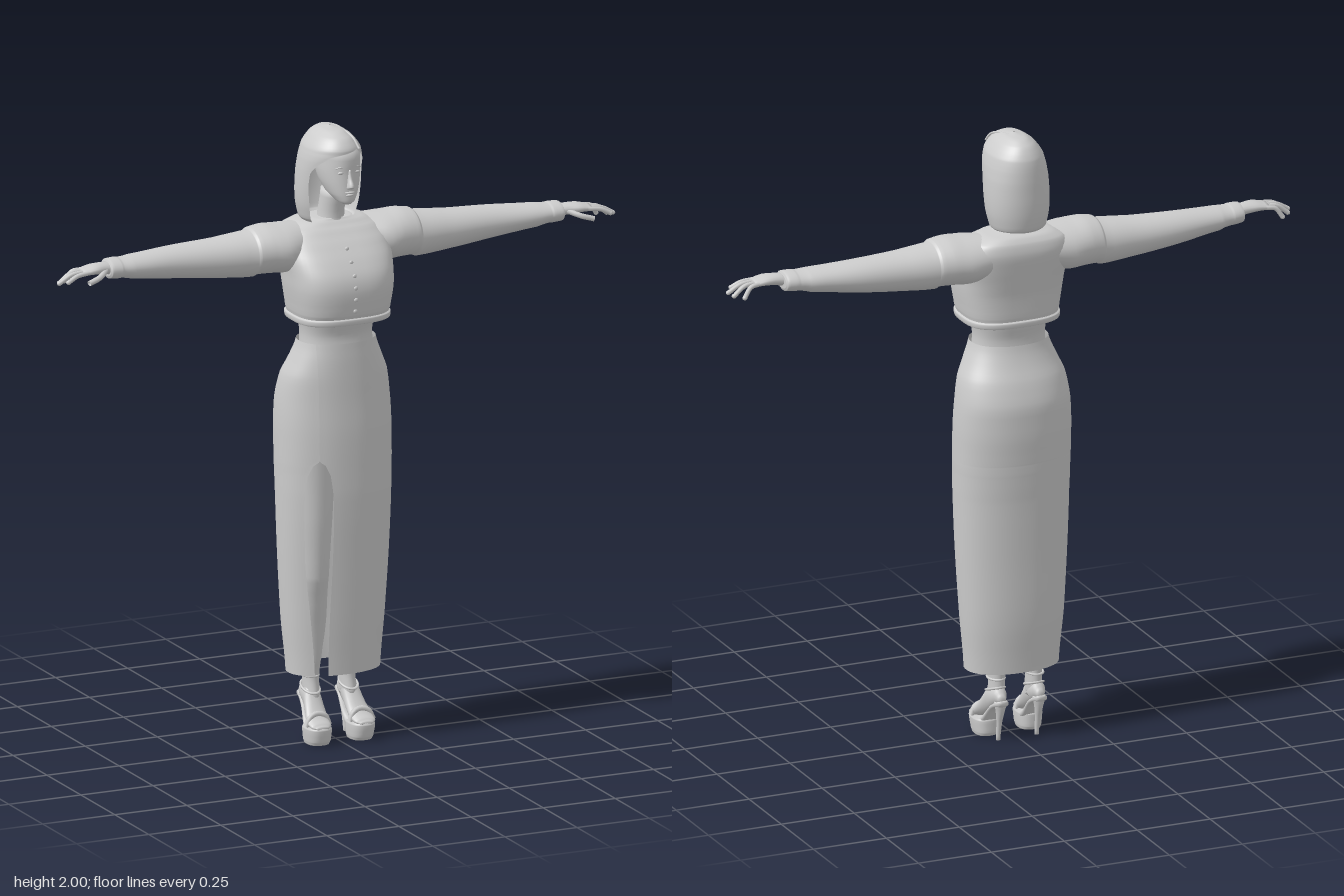
import * as THREE from 'three';

const grey = new THREE.MeshStandardMaterial({ color: 0xcccccc, side: THREE.DoubleSide });
grey.name = 'plain light grey';

// Smooth value between rows of a cross-section table
function sample(rows, s) {
  const last = rows.length - 1, i = Math.min(Math.floor(s), last - 1), f = s - i;
  const p = (k) => rows[Math.max(0, Math.min(last, k))];
  return rows[i].map((b, j) => {
    const c = rows[i + 1][j], m0 = (c - p(i - 1)[j]) / 2, m1 = (p(i + 2)[j] - b) / 2;
    const f2 = f * f, f3 = f2 * f;
    const v = (2 * f3 - 3 * f2 + 1) * b + (f3 - 2 * f2 + f) * m0 + (3 * f2 - 2 * f3) * c + (f3 - f2) * m1;
    return j === 0 ? b + (c - b) * f : Math.max(Math.min(b, c), Math.min(Math.max(b, c), v));
  });
}

// Loft of superellipse rings. Row: [position, centre, half width, front, back, start angle, end angle].
// Rows with angles make an open shell. axis is the direction the rings are stacked along.
function loft(name, rows, { axis = 'y', n = 2, steps = 4, seg = 32 } = {}) {
  const pos = [], idx = [], open = rows[0].length > 5;
  const cols = open ? seg + 1 : seg, count = (rows.length - 1) * steps + 1;
  const put = (u, t, v) => pos.push(...(axis === 'y' ? [u, t, v] : axis === 'x' ? [t, u, v] : [u, v, t]));
  const tri = (a, b, c) => (axis === 'y' ? idx.push(a, b, c) : idx.push(a, c, b));
  const power = (v) => Math.sign(v) * Math.abs(v) ** (2 / n);
  for (let r = 0; r < count; r++) {
    const [t, c, w, zf, zb, a0 = 0, a1 = Math.PI * 2] = sample(rows, r / steps);
    for (let k = 0; k < cols; k++) {
      const a = a0 + ((a1 - a0) * k) / seg;
      put(c + w * power(Math.cos(a)), t, (zf + zb) / 2 + ((zf - zb) / 2) * power(Math.sin(a)));
    }
  }
  for (let r = 0; r < count - 1; r++) {
    for (let k = 0; k < seg; k++) {
      const a = r * cols + k, b = r * cols + ((k + 1) % cols);
      tri(a, a + cols, b);
      tri(b, a + cols, b + cols);
    }
  }
  if (!open) {
    for (const end of [0, 1]) {
      const row = rows[end * (rows.length - 1)], base = end * (count - 1) * cols, mid = pos.length / 3;
      put(row[1], row[0], (row[3] + row[4]) / 2);
      for (let k = 0; k < seg; k++) {
        const a = base + k, b = base + ((k + 1) % seg);
        end ? tri(a, mid, b) : tri(a, b, mid);
      }
    }
  }
  const g = new THREE.BufferGeometry();
  g.setAttribute('position', new THREE.Float32BufferAttribute(pos, 3));
  g.setIndex(idx);
  g.computeVertexNormals();
  return mesh(name, g);
}

function mesh(name, geometry, x = 0, y = 0, z = 0) {
  const m = new THREE.Mesh(geometry, grey);
  m.name = name;
  m.position.set(x, y, z);
  return m;
}

function ball(name, x, y, z, sx, sy, sz) {
  const m = mesh(name, new THREE.SphereGeometry(1, 14, 10), x, y, z);
  m.scale.set(sx, sy, sz);
  return m;
}

function tube(name, points, r) {
  const curve = new THREE.CatmullRomCurve3(points.map((p) => new THREE.Vector3(...p)));
  return mesh(name, new THREE.TubeGeometry(curve, 12, r, 8));
}

function group(name, ...parts) {
  const g = new THREE.Group();
  g.name = name;
  g.add(...parts);
  return g;
}

// Long skirt, left open from the slit downwards
function skirt() {
  const n = 2.2, turn = Math.PI * 2;
  const angle = (x, w) => Math.acos(-(Math.abs(x / w) ** (n / 2)));
  const rows = [
    // y, half width, front, back, slit edges
    [0.23, 0.155, 0.085, -0.115, -0.1, -0.06], [0.4, 0.17, 0.095, -0.13, -0.115, -0.06],
    [0.6, 0.182, 0.106, -0.135, -0.136, -0.055], [0.8, 0.189, 0.116, -0.142, -0.142, -0.055],
    [0.89, 0.191, 0.117, -0.148, -0.134, -0.066], [0.925, 0.192, 0.117, -0.15, -0.118, -0.082],
    [0.94, 0.192, 0.117, -0.151, -0.1, -0.1], [1.03, 0.192, 0.116, -0.157, -0.1, -0.1],
    [1.12, 0.187, 0.112, -0.157, -0.1, -0.1], [1.2, 0.174, 0.11, -0.135, -0.1, -0.1],
    [1.26, 0.148, 0.108, -0.108, -0.1, -0.1], [1.315, 0.128, 0.105, -0.092, -0.1, -0.1],
  ].map(([y, w, f, b, l, r]) => [y, -0.002, w, f, b, angle(l, w), angle(r, w) + turn]);
  return loft('skirt', rows, { n, seg: 64 });
}

function arm() {
  const hand = group('hand',
    loft('palm', [[0.76, 1.622, 0.02, 0.014, -0.04], [0.8, 1.628, 0.019, 0.018, -0.038],
      [0.84, 1.63, 0.016, 0.03, -0.04], [0.88, 1.626, 0.011, 0.028, -0.038]], { axis: 'x', seg: 16 }),
    tube('thumb', [[0.8, 1.625, 0.01], [0.835, 1.612, 0.038], [0.875, 1.6, 0.046]], 0.009));
  for (const [z, tipZ, len, drop] of [[0.022, 0.03, 0.945, 1.607], [0.004, 0.005, 0.965, 1.6],
    [-0.014, -0.018, 0.955, 1.595], [-0.03, -0.04, 0.928, 1.592]]) {
    hand.add(tube('finger', [[0.865, 1.627, z], [(0.87 + len) / 2, 1.622, (z + tipZ) / 2], [len - 0.006, drop, tipZ]], 0.0075));
    hand.add(ball('fingertip', len - 0.006, drop, tipZ, 0.008, 0.0075, 0.0075));
  }
  const sleeve = loft('sleeve', [
    [0.08, 1.622, 0.065, 0.03, -0.135], [0.17, 1.614, 0.078, 0.066, -0.142], [0.23, 1.617, 0.078, 0.06, -0.135],
    [0.275, 1.614, 0.075, 0.052, -0.126], [0.285, 1.607, 0.074, 0.046, -0.121], [0.4, 1.606, 0.064, 0.034, -0.11],
    [0.55, 1.611, 0.052, 0.024, -0.1], [0.7, 1.617, 0.038, 0.028, -0.08], [0.74, 1.62, 0.032, 0.027, -0.071],
    [0.75, 1.621, 0.033, 0.029, -0.071], [0.782, 1.622, 0.031, 0.029, -0.065], [0.787, 1.622, 0.022, 0.02, -0.055],
  ], { axis: 'x' });
  return group('arm', sleeve, hand);
}

function legAndShoe() {
  const leg = loft('leg', [
    [0.13, 0.064, 0.025, -0.005, -0.085], [0.2, 0.063, 0.025, -0.015, -0.085], [0.26, 0.065, 0.03, 0, -0.09],
    [0.38, 0.072, 0.046, 0.025, -0.085], [0.48, 0.08, 0.048, 0.05, -0.06], [0.55, 0.085, 0.05, 0.07, -0.045],
    [0.75, 0.09, 0.068, 0.085, -0.07], [1, 0.09, 0.085, 0.085, -0.09]]);
  const foot = loft('foot', [
    [-0.104, 0.066, 0.012, 0.155, 0.132], [-0.08, 0.066, 0.024, 0.18, 0.118], [-0.035, 0.067, 0.029, 0.18, 0.088],
    [0, 0.071, 0.034, 0.13, 0.064], [0.03, 0.075, 0.038, 0.092, 0.05], [0.06, 0.076, 0.034, 0.073, 0.05],
    [0.073, 0.076, 0.02, 0.063, 0.052]], { axis: 'z', seg: 20 });
  const sole = loft('platformSole', [[0, 0.074, 0.036, 0.062, -0.025], [0.012, 0.074, 0.039, 0.07, -0.03],
    [0.05, 0.075, 0.042, 0.077, -0.03], [0.058, 0.075, 0.039, 0.073, -0.026]], { n: 2.5 });
  const shank = loft('shoeShank', [[-0.108, 0.066, 0.018, 0.142, 0.122], [-0.06, 0.066, 0.026, 0.118, 0.1],
    [-0.015, 0.07, 0.034, 0.07, 0.042], [0.02, 0.074, 0.038, 0.058, 0.035]], { axis: 'z', n: 3, seg: 20 });
  const heel = loft('stilettoHeel', [[0, 0.066, 0.007, -0.06, -0.075], [0.06, 0.066, 0.009, -0.067, -0.086],
    [0.1, 0.066, 0.014, -0.068, -0.1], [0.135, 0.066, 0.021, -0.065, -0.108]], { seg: 14 });
  const strap = (name, y, z, r, depth, tilt) => {
    const s = mesh(name, new THREE.TorusGeometry(r, 0.004, 8, 24), 0.066, y, z);
    s.scale.y = depth;
    s.rotation.x = Math.PI / 2 + tilt;
    return s;
  };
  return group('legAndShoe', leg, foot, sole, shank, heel,
    strap('ankleStrap', 0.205, -0.05, 0.026, 1.35, 0), strap('upperStrap', 0.165, -0.046, 0.028, 1.45, 0.35),
    tube('toeStrap', [[0.036, 0.058, 0.03], [0.05, 0.088, 0.03], [0.075, 0.096, 0.028], [0.1, 0.088, 0.03], [0.116, 0.058, 0.03]], 0.009));
}

function head() {
  const x = 0.004;
  const g = group('head',
    loft('neck', [[1.66, 0, 0.055, 0.03, -0.1], [1.7, 0, 0.042, 0.012, -0.085], [1.79, x, 0.04, 0.03, -0.07]]),
    loft('face', [[1.764, x, 0.014, 0.09, 0.06], [1.772, x, 0.028, 0.098, 0.02], [1.795, x, 0.045, 0.1, -0.03],
      [1.83, x, 0.058, 0.099, -0.07], [1.87, x, 0.064, 0.098, -0.09], [1.92, x, 0.064, 0.1, -0.1],
      [1.965, x - 0.01, 0.045, 0.065, -0.08]], { n: 2.2 }),
    loft('nose', [[1.818, x, 0.012, 0.112, 0.085], [1.826, x, 0.011, 0.122, 0.085],
      [1.85, x, 0.007, 0.109, 0.085], [1.878, x, 0.005, 0.1, 0.085]], { seg: 12 }),
    ball('upperLip', x, 1.804, 0.097, 0.017, 0.004, 0.008), ball('lowerLip', x, 1.796, 0.096, 0.014, 0.005, 0.008));
  for (const s of [-1, 1]) {
    g.add(ball('eye', x + s * 0.027, 1.868, 0.09, 0.011, 0.005, 0.005));
    g.add(tube('brow', [[x + s * 0.013, 1.882, 0.095], [x + s * 0.028, 1.887, 0.091], [x + s * 0.043, 1.881, 0.083]], 0.002));
  }
  return g;
}

// Bob with a side parting, opened around the face and curled in at the bottom
function hair() {
  const d = Math.PI / 180;
  const rows = [
    [1.69, 0.078, 0.03, -0.108, 30, 147], [1.705, 0.09, 0.045, -0.121, 30, 147], [1.75, 0.1, 0.06, -0.129, 28, 147],
    [1.8, 0.103, 0.073, -0.132, 24, 150], [1.86, 0.101, 0.09, -0.132, 20, 152], [1.9, 0.096, 0.107, -0.13, 32, 138],
    [1.925, 0.09, 0.113, -0.127, 48, 115], [1.945, 0.082, 0.112, -0.121, 62, 62], [1.975, 0.059, 0.088, -0.101, 62, 62],
    [1.993, 0.033, 0.05, -0.07, 62, 62], [2, 0.003, -0.008, -0.014, 62, 62],
  ].map(([y, w, f, b, a0, a1]) => [y, -0.014, w, f, b, a1 * d, (a0 + 360) * d]);
  return group('hair', loft('bob', rows, { n: 2.1, seg: 48 }),
    tube('parting', [[0.035, 1.945, 0.098], [0.028, 1.972, 0.075], [0.018, 1.987, 0.035], [0.006, 1.994, -0.02]], 0.004));
}

export function createModel() {
  const model = group('standingWoman', skirt(), head(), hair());
  model.add(loft('waist', [[1.28, 0, 0.12, 0.09, -0.085], [1.33, 0, 0.117, 0.085, -0.082],
    [1.37, 0, 0.122, 0.095, -0.09], [1.42, 0, 0.135, 0.11, -0.1]], { n: 2.3 }));
  // Cropped blouse with hem band and front buttons
  const torso = [
    [1.395, 0, 0.152, 0.143, -0.116], [1.42, 0, 0.158, 0.152, -0.12], [1.49, 0, 0.168, 0.16, -0.126],
    [1.54, 0, 0.172, 0.15, -0.136], [1.59, 0, 0.178, 0.118, -0.146], [1.635, 0, 0.178, 0.078, -0.152],
    [1.67, 0, 0.158, 0.042, -0.145], [1.69, 0, 0.115, 0.018, -0.128], [1.7, 0, 0.06, 0.008, -0.1]];
  const blouse = group('blouse', loft('bodice', torso, { n: 2.9, seg: 48 }),
    loft('hemBand', [[1.383, 0, 0.15, 0.14, -0.114], [1.386, 0, 0.158, 0.149, -0.121],
      [1.402, 0, 0.16, 0.151, -0.123], [1.407, 0, 0.153, 0.146, -0.117]], { n: 2.9, seg: 48 }));
  for (const [y, z] of [[1.62, 0.092], [1.583, 0.123], [1.545, 0.148], [1.508, 0.158], [1.47, 0.159], [1.432, 0.154]])
    blouse.add(ball('button', -0.003, y, z, 0.007, 0.007, 0.004));
  model.add(blouse);
  // Mirrored limbs
  for (const s of [1, -1]) {
    const limbs = group(s > 0 ? 'leftLimbs' : 'rightLimbs', arm(), legAndShoe());
    limbs.scale.x = s;
    model.add(limbs);
  }
  return model;
}
